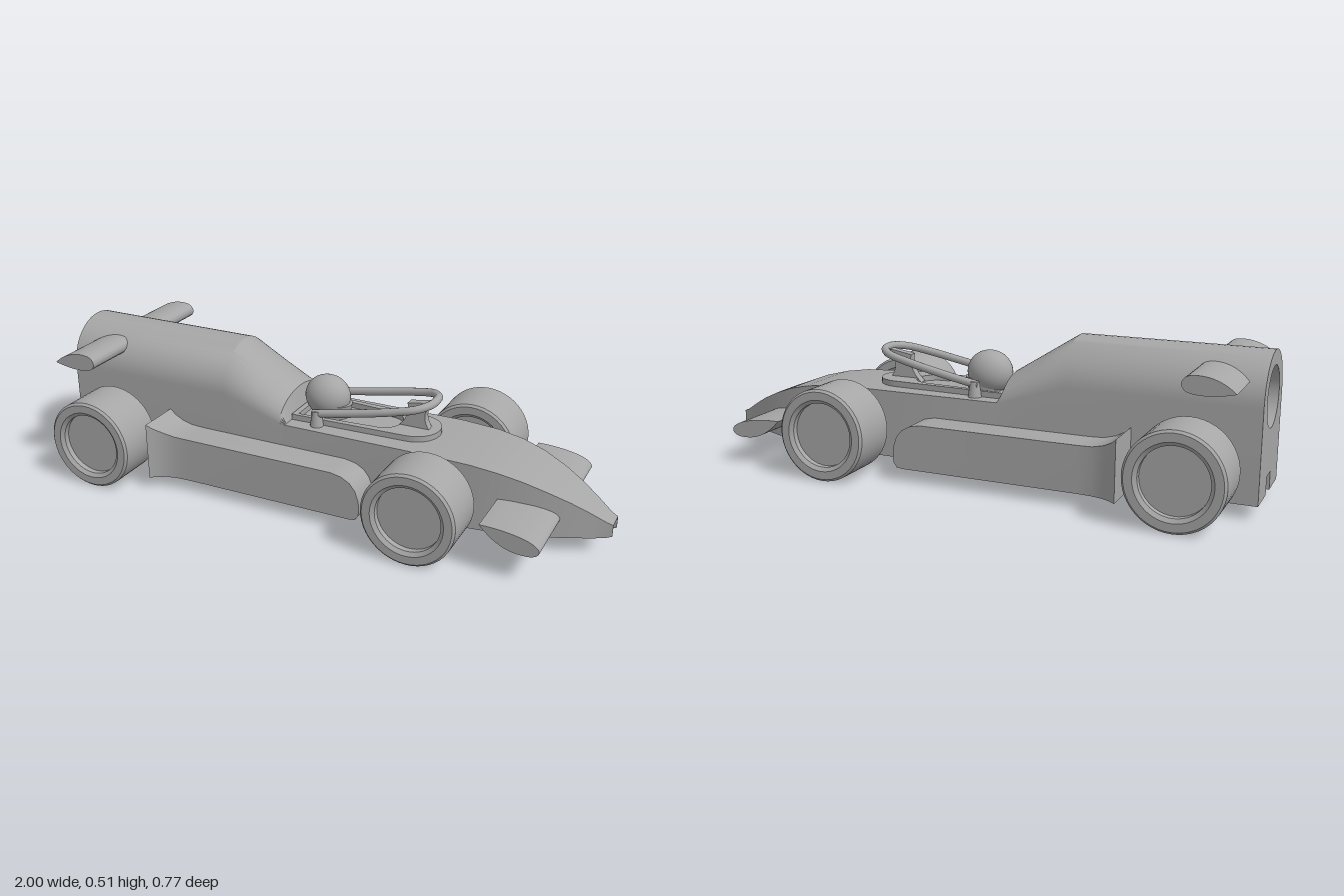
import * as THREE from 'three';
import { toCreasedNormals } from 'three/addons/utils/BufferGeometryUtils.js';

const grey = new THREE.MeshStandardMaterial({ color: 0xa6a6a6 });
grey.name = 'plain grey';

// Skin through rings of [z, y] points placed at each x, with both ends capped
function loft(xs, rings, hole = []) {
  const out = [];
  const put = (x, p) => out.push(x, p[1], p[0]);
  for (let i = 0; i < xs.length - 1; i++) {
    const A = rings[i], B = rings[i + 1], n = A.length;
    for (let j = 0; j < n; j++) {
      const k = (j + 1) % n;
      put(xs[i], A[j]); put(xs[i + 1], B[k]); put(xs[i], A[k]);
      put(xs[i], A[j]); put(xs[i + 1], B[j]); put(xs[i + 1], B[k]);
    }
  }
  const cap = (x, ring, holePts, flip) => {
    const v = (a) => a.map((p) => new THREE.Vector2(p[0], p[1]));
    const all = ring.concat(holePts);
    const faces = THREE.ShapeUtils.triangulateShape(v(ring), holePts.length ? [v(holePts)] : []);
    for (const f of faces) for (const k of flip ? [f[0], f[2], f[1]] : f) put(x, all[k]);
  };
  cap(xs[0], rings[0], hole, false);
  cap(xs.at(-1), rings.at(-1), [], true);
  const g = new THREE.BufferGeometry();
  g.setAttribute('position', new THREE.Float32BufferAttribute(out, 3));
  return toCreasedNormals(g, 0.5);
}

// Body cross-section: slotted floor, upright sides, arched top
function bodyRing(w, shoulder, top, bottom) {
  const slot = 0.03, roof = 0.107, ring = [[-slot, roof], [-slot, bottom], [-w, bottom]].reverse();
  ring.push([slot, roof], [slot, bottom], [w, bottom]);
  const n = 24;
  for (let i = 0; i <= n; i++) {
    const a = (Math.PI * i) / n;
    ring.push([w * Math.cos(a), shoulder + (top - shoulder) * Math.sin(a)]);
  }
  return ring;
}

export function createModel() {
  const car = new THREE.Group();
  car.name = 'racingCar';
  const add = (name, geo, parent = car) => {
    const m = new THREE.Mesh(geo, grey);
    m.name = name;
    parent.add(m);
    return m;
  };

  // Main body: x, half-width, shoulder, top, bottom
  const stations = [
    [-1, 0.155, 0.355, 0.51, 0.045], [-0.36, 0.155, 0.355, 0.51, 0.045],
    [-0.25, 0.155, 0.32, 0.44, 0.045], [-0.14, 0.155, 0.285, 0.37, 0.045],
    [-0.12, 0.155, 0.283, 0.284, 0.045], [0.42, 0.155, 0.283, 0.284, 0.045],
    [0.55, 0.15, 0.277, 0.278, 0.046], [0.64, 0.141, 0.264, 0.265, 0.048],
    [0.72, 0.127, 0.244, 0.245, 0.05], [0.8, 0.106, 0.214, 0.215, 0.052],
    [0.87, 0.082, 0.182, 0.183, 0.055], [0.93, 0.058, 0.148, 0.149, 0.057],
    [0.98, 0.038, 0.117, 0.118, 0.06], [1, 0.033, 0.109, 0.11, 0.068],
  ];
  const bore = 0.1, boreY = 0.36, hole = [];
  for (let i = 0; i < 40; i++) {
    const a = (-i / 40) * Math.PI * 2;
    hole.push([bore * Math.cos(a), boreY + bore * Math.sin(a)]);
  }
  add('body', loft(stations.map((s) => s[0]), stations.map((s) => bodyRing(...s.slice(1))), hole));

  // Blind bore in the tail, facing inward
  const boreGeo = new THREE.LatheGeometry(
    [[bore, 0.52], [bore, 0], [0, 0]].map((p) => new THREE.Vector2(...p)), 40);
  boreGeo.rotateZ(Math.PI / 2);
  add('tailBore', toCreasedNormals(boreGeo, 0.5)).position.set(-0.48, boreY, 0);

  // Cockpit rim with opening
  const rim = new THREE.Shape();
  rim.moveTo(-0.12, -0.103);
  rim.lineTo(0.3, -0.09);
  rim.bezierCurveTo(0.42, -0.085, 0.42, 0.085, 0.3, 0.09);
  rim.lineTo(-0.12, 0.103);
  const opening = new THREE.Path();
  opening.moveTo(-0.1, -0.088);
  opening.lineTo(-0.1, 0.088);
  opening.lineTo(0.19, 0.068);
  opening.bezierCurveTo(0.27, 0.06, 0.27, -0.06, 0.19, -0.068);
  rim.holes.push(opening);
  const rimGeo = new THREE.ExtrudeGeometry(rim, { depth: 0.025, bevelEnabled: false, curveSegments: 16 });
  rimGeo.rotateX(-Math.PI / 2);
  add('cockpitRim', toCreasedNormals(rimGeo, 0.5)).position.y = 0.279;

  // Driver
  const helmet = add('helmet', new THREE.SphereGeometry(1, 32, 20));
  helmet.scale.set(0.082, 0.076, 0.067);
  helmet.position.set(-0.03, 0.352, 0);
  const chin = add('helmetChin', new THREE.CylinderGeometry(0.058, 0.05, 0.05, 28));
  chin.scale.x = 1.3;
  chin.position.set(-0.015, 0.308, 0);

  // Head guard hoop and its central pylon
  const half = [[-0.035, 0.325, 0.108], [0.1, 0.35, 0.105], [0.25, 0.381, 0.096], [0.33, 0.398, 0.078], [0.365, 0.406, 0.04]];
  const path = [...half, [0.372, 0.408, 0], ...half.map(([x, y, z]) => [x, y, -z]).reverse()];
  const curve = new THREE.CatmullRomCurve3(path.map((p) => new THREE.Vector3(...p)));
  add('guardHoop', new THREE.TubeGeometry(curve, 72, 0.014, 12));
  for (const s of [1, -1]) {
    const foot = add('guardFoot', new THREE.CylinderGeometry(0.016, 0.024, 0.06, 16));
    foot.position.set(-0.02, 0.308, s * 0.108);
  }
  const pylon = new THREE.Shape();
  pylon.moveTo(0.235, 0.29);
  pylon.quadraticCurveTo(0.285, 0.335, 0.275, 0.388);
  pylon.lineTo(0.36, 0.402);
  pylon.quadraticCurveTo(0.315, 0.345, 0.365, 0.29);
  const pylonGeo = new THREE.ExtrudeGeometry(pylon, { depth: 0.03, bevelEnabled: false });
  pylonGeo.translate(0, 0, -0.015);
  add('guardPylon', toCreasedNormals(pylonGeo, 0.5));

  // Side pods: x, outer z, top y, bottom y
  const pod = [
    [-0.59, 0.312, 0.252, 0.045], [-0.57, 0.296, 0.234, 0.045], [-0.54, 0.28, 0.218, 0.045],
    [-0.5, 0.271, 0.207, 0.045], [-0.45, 0.268, 0.205, 0.045], [0.11, 0.268, 0.205, 0.045],
    [0.15, 0.268, 0.197, 0.045], [0.18, 0.268, 0.18, 0.045], [0.2, 0.268, 0.155, 0.048],
    [0.212, 0.268, 0.12, 0.065], [0.214, 0.268, 0.1, 0.08],
  ];
  // Wing sections run from the thin trailing edge round the blunt leading edge
  const wings = {
    rearWing: [[-0.95, 0.43], [-0.91, 0.47, -0.85, 0.482, -0.81, 0.474],
      [-0.778, 0.465, -0.778, 0.43, -0.81, 0.421], [-0.85, 0.412, -0.9, 0.417, -0.95, 0.43]],
    frontWing: [[0.645, 0.172], [0.69, 0.174, 0.76, 0.167, 0.8, 0.154],
      [0.85, 0.138, 0.855, 0.108, 0.81, 0.1], [0.75, 0.095, 0.7, 0.112, 0.645, 0.172]],
  };
  const innerZ = { rearWing: 0.095, frontWing: 0.06 };
  for (const s of [1, -1]) {
    const rings = pod.map(([, z, t, b]) => {
      const r = [[0.14, b], [z, b], [z, t], [0.14, t]].map(([a, y]) => [a * s, y]);
      return s > 0 ? r : r.reverse();
    });
    add(s > 0 ? 'leftSidePod' : 'rightSidePod', loft(pod.map((p) => p[0]), rings));

    for (const [name, [start, ...curves]] of Object.entries(wings)) {
      const shape = new THREE.Shape();
      shape.moveTo(...start);
      curves.forEach((c) => shape.bezierCurveTo(...c));
      const depth = 0.32 - innerZ[name];
      const g = new THREE.ExtrudeGeometry(shape, { depth, bevelEnabled: false, curveSegments: 14 });
      g.translate(0, 0, s > 0 ? innerZ[name] : -0.32);
      add(name, toCreasedNormals(g, 0.6));
    }
  }

  // Wheels: dished on both faces, with hub and axle
  const tyre = [[0, 0.1], [0.112, 0.1], [0.112, 0.012], [0.125, 0], [0.153, 0], [0.161, 0.008], [0.161, 0.177],
    [0.153, 0.185], [0.125, 0.185], [0.112, 0.175], [0.112, 0.155], [0, 0.155]];
  const wheelGeo = new THREE.LatheGeometry(tyre.map((p) => new THREE.Vector2(...p)), 48);
  wheelGeo.rotateX(Math.PI / 2);
  const wheelSmooth = toCreasedNormals(wheelGeo, 0.5);
  for (const x of [-0.79, 0.43]) for (const s of [1, -1]) {
    const corner = new THREE.Group();
    corner.name = x < 0 ? 'rearWheel' : 'frontWheel';
    corner.position.set(x, 0.161, 0);
    if (s < 0) corner.rotation.y = Math.PI;
    add('tyre', wheelSmooth, corner).position.z = 0.2;
    const hub = add('hub', new THREE.CylinderGeometry(0.06, 0.06, 0.04, 32), corner);
    hub.rotation.x = Math.PI / 2;
    hub.position.z = 0.152;
    const axle = add('axle', new THREE.CylinderGeometry(0.032, 0.032, 0.17, 24), corner);
    axle.rotation.x = Math.PI / 2;
    axle.position.z = 0.225;
    car.add(corner);
  }
  return car;
}
